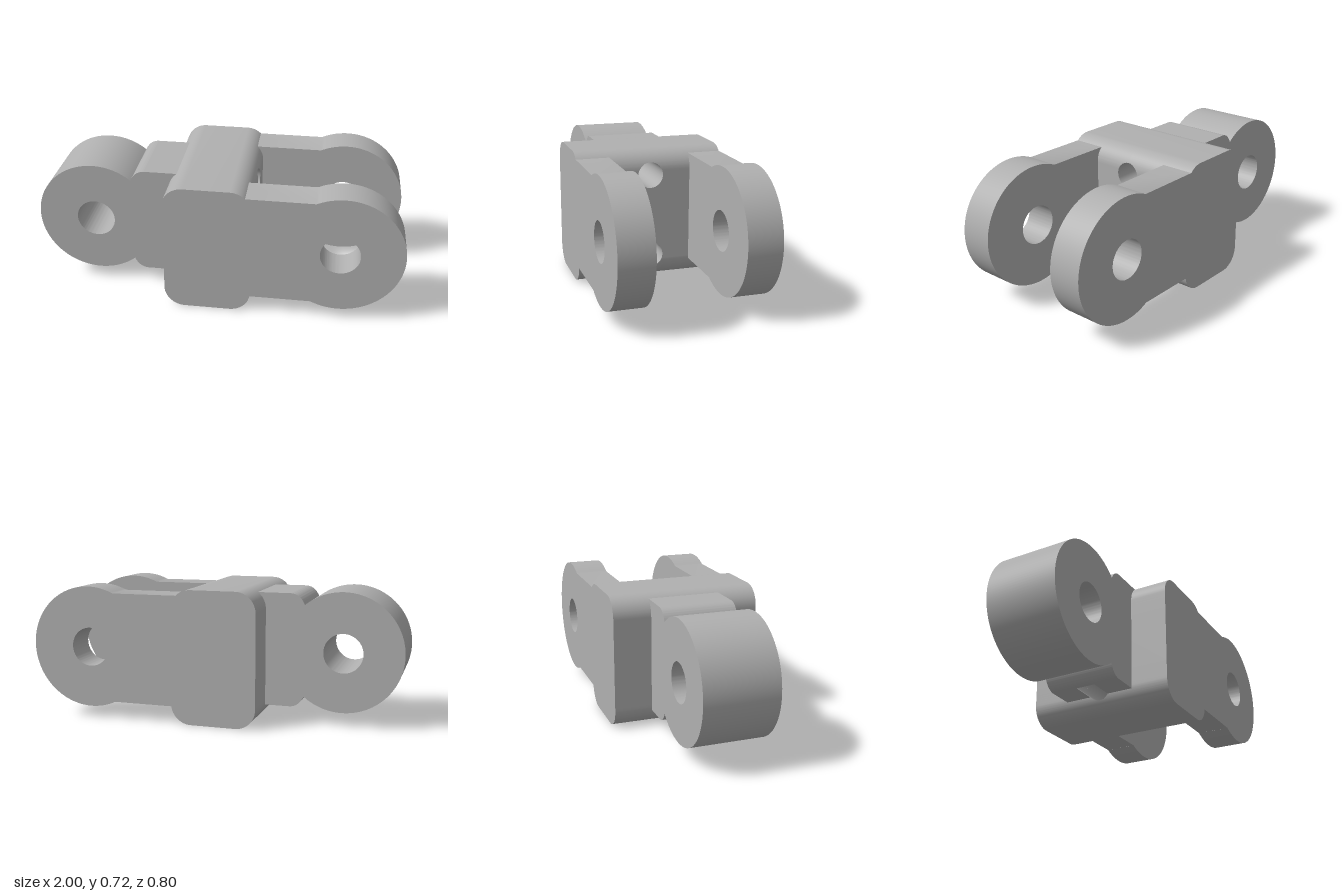
import * as THREE from 'three';
import { toCreasedNormals } from 'three/addons/utils/BufferGeometryUtils.js';

const steel = new THREE.MeshStandardMaterial({ color: 0xb0b0b0, side: THREE.DoubleSide });
steel.name = 'grey steel';

const HALF = 0.402, TOP = 0.722, LEFT = -0.265, RIGHT = 0.2, ROUND = 0.11;
const BORE = 0.07, BORES = [0.135, 0.585];

function mesh(name, geometry, parent) {
  const m = new THREE.Mesh(toCreasedNormals(geometry, 0.5), steel);
  m.name = name;
  parent.add(m);
}

const extrude = (shape, depth) =>
  new THREE.ExtrudeGeometry(shape, { depth, bevelEnabled: false, curveSegments: 48 });

function addHole(shape, x, y, r) {
  const hole = new THREE.Path();
  hole.absarc(x, y, r, 0, Math.PI * 2, true);
  shape.holes.push(hole);
}

// How far the rounded edges of the block pull its side walls in at height y
function inset(y) {
  const d = Math.max(0, ROUND - Math.min(y, TOP - y));
  return ROUND - Math.sqrt(Math.max(0, ROUND * ROUND - d * d));
}

// Half width of the bore opening at height y
const opening = y => Math.max(...BORES.map(c => Math.sqrt(Math.max(0, BORE * BORE - (y - c) ** 2))));

// Rounded block: a skin of strips that leaves the bore openings free, plus two end caps
function blockGeometry() {
  const rows = [];
  for (let i = 0; i <= 16; i++) {
    const e = ROUND * (1 - Math.cos(i * Math.PI / 32));
    rows.push(e, TOP - e);
    for (const c of BORES) rows.push(c + BORE * Math.cos(i * Math.PI / 16));
  }
  rows.sort((a, b) => a - b);
  const ring = [
    ...rows.map(y => [RIGHT - inset(y), y]),
    ...rows.slice().reverse().map(y => [LEFT + inset(y), y])
  ];
  const pos = [];
  const mid = [(LEFT + RIGHT) / 2, TOP / 2];
  ring.forEach((p, i) => {
    const q = ring[(i + 1) % ring.length];
    const wp = opening(p[1]), wq = opening(q[1]);
    for (const [pa, pb, qa, qb] of [[-HALF, -wp, -HALF, -wq], [wp, HALF, wq, HALF]]) {
      pos.push(...p, pa, ...q, qa, ...q, qb, ...p, pa, ...q, qb, ...p, pb);
    }
    pos.push(...mid, HALF, ...p, HALF, ...q, HALF);
    pos.push(...mid, -HALF, ...q, -HALF, ...p, -HALF);
  });
  const g = new THREE.BufferGeometry();
  g.setAttribute('position', new THREE.Float32BufferAttribute(pos, 3));
  g.computeVertexNormals();
  return g;
}

// Bore wall, trimmed to follow the rounded side walls of the block
function boreGeometry(y) {
  const g = new THREE.CylinderGeometry(BORE, BORE, 1, 32, 1, true);
  g.rotateZ(Math.PI / 2).translate(0, y, 0);
  const p = g.attributes.position;
  for (let i = 0; i < p.count; i++) {
    const d = inset(p.getY(i));
    p.setX(i, p.getX(i) > 0 ? RIGHT - d : LEFT + d);
  }
  return g;
}

// Fork arm: straight shank ending in a round eye
function armGeometry() {
  const s = new THREE.Shape();
  const a = Math.atan2(0.297, -0.143);
  s.moveTo(0.08, 0.69);
  s.lineTo(0.08, 0.095);
  s.lineTo(0.527, 0.095);
  s.absarc(0.67, 0.392, 0.33, -a, a, false);
  s.closePath();
  addHole(s, 0.665, 0.393, 0.105);
  return extrude(s, HALF - 0.221);
}

// Tongue eye: round knob with the rounded shoulders of the neck
function tongueEyeGeometry() {
  const s = new THREE.Shape();
  const a = Math.atan2(0.246, 0.205);
  s.moveTo(-0.4, 0.09);
  s.lineTo(-0.4, 0.7);
  s.quadraticCurveTo(-0.45, 0.698, -0.475, 0.641);
  s.absarc(-0.68, 0.395, 0.32, a, Math.PI * 2 - a, false);
  s.quadraticCurveTo(-0.45, 0.092, -0.4, 0.09);
  addHole(s, -0.682, 0.393, 0.105);
  return extrude(s, 0.394).translate(0, 0, -0.197);
}

// Neck: cross-section with the upper bore and the groove left by the lower bore
function neckGeometry() {
  const s = new THREE.Shape();
  const a = Math.asin((0.09 - BORES[0]) / BORE);
  s.moveTo(0.197, 0.09);
  s.lineTo(0.197, 0.7);
  s.lineTo(-0.197, 0.7);
  s.lineTo(-0.197, 0.09);
  s.absarc(0, BORES[0], BORE, Math.PI - a, a, true);
  s.closePath();
  addHole(s, 0, BORES[1], BORE);
  return extrude(s, 0.19).rotateY(Math.PI / 2).translate(-0.4, 0, 0);
}

export function createModel() {
  const model = new THREE.Group();
  model.name = 'clevisLink';

  mesh('block', blockGeometry(), model);
  BORES.forEach((y, i) => mesh(i ? 'upperBore' : 'lowerBore', boreGeometry(y), model));

  mesh('frontArm', armGeometry().translate(0, 0, 0.221), model);
  mesh('backArm', armGeometry().translate(0, 0, -HALF), model);

  mesh('tongueNeck', neckGeometry(), model);
  mesh('tongueEye', tongueEyeGeometry(), model);
  return model;
}
